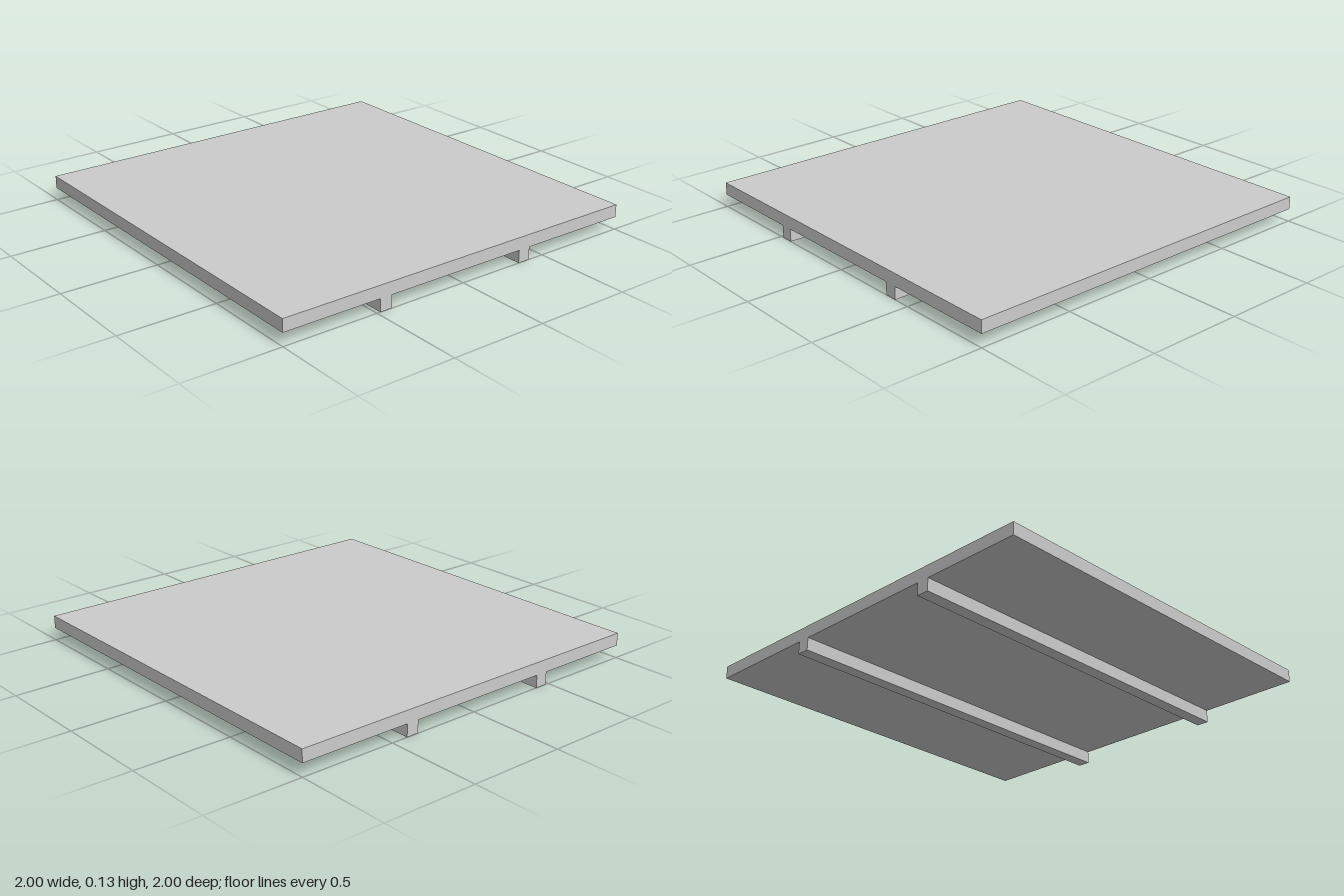
import * as THREE from 'three';

export function createModel() {
  const model = new THREE.Group();
  const material = new THREE.MeshStandardMaterial({ color: 0xcccccc });
  const thickness = 0.065;

  function addBox(name, depth, y, z) {
    const mesh = new THREE.Mesh(new THREE.BoxGeometry(2, thickness, depth), material);
    mesh.name = name;
    mesh.position.set(0, y, z);
    model.add(mesh);
  }

  // Square panel resting on two full-width battens
  addBox('panel', 2, thickness * 1.5, 0);
  addBox('frontBatten', thickness, thickness / 2, 0.45);
  addBox('rearBatten', thickness, thickness / 2, -0.38);

  return model;
}
